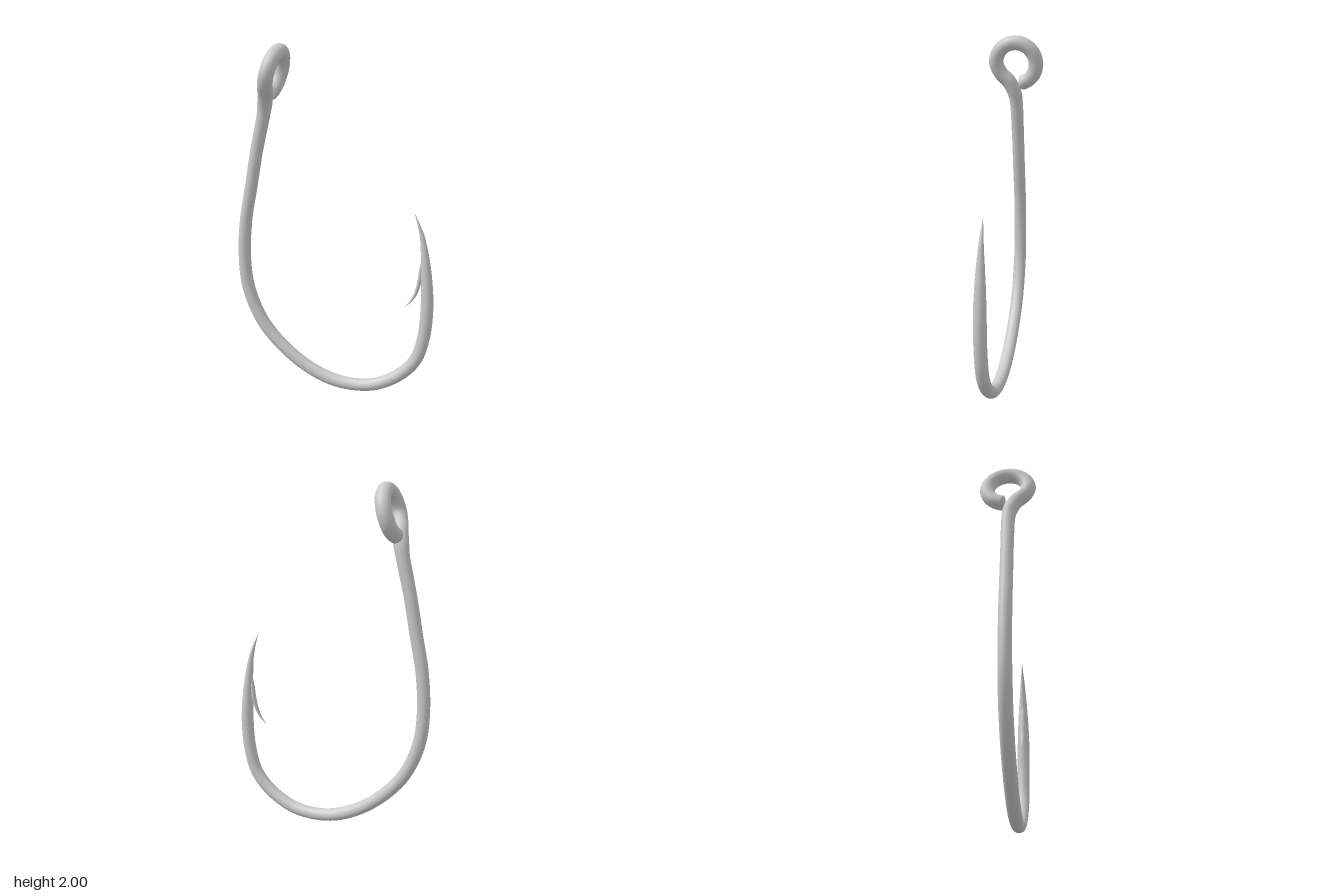
import * as THREE from 'three';

const material = new THREE.MeshStandardMaterial({ color: 0xcccccc });

// Sweeps a round section of varying radius along stations [x, y, z, radius]
function sweep(name, stations, steps, sides, zScale = 1) {
  const curve = new THREE.CatmullRomCurve3(stations.map(s => new THREE.Vector3(s[0], s[1], s[2])));
  const last = stations.length - 1;
  const pos = [], index = [];
  const normal = new THREE.Vector3(1, 0, 0), binormal = new THREE.Vector3();
  for (let i = 0; i <= steps; i++) {
    const t = i / steps, k = Math.min(Math.floor(t * last), last - 1);
    const r = THREE.MathUtils.lerp(stations[k][3], stations[k + 1][3], t * last - k);
    const p = curve.getPoint(t), tangent = curve.getTangent(t);
    // carry the frame along without twist
    normal.addScaledVector(tangent, -normal.dot(tangent)).normalize();
    binormal.crossVectors(tangent, normal);
    for (let j = 0; j < sides; j++) {
      const a = j / sides * Math.PI * 2;
      const d = normal.clone().multiplyScalar(Math.cos(a) * r).addScaledVector(binormal, Math.sin(a) * r);
      pos.push(p.x + d.x, p.y + d.y, p.z + d.z * zScale);
      if (i < steps) {
        const A = i * sides + j, B = i * sides + (j + 1) % sides;
        index.push(A, B, A + sides, B, B + sides, A + sides);
      }
    }
  }
  // end caps
  for (const [t, row, flip] of [[0, 0, false], [1, steps, true]]) {
    const c = pos.length / 3, p = curve.getPoint(t);
    pos.push(p.x, p.y, p.z);
    for (let j = 0; j < sides; j++) {
      const A = row * sides + j, B = row * sides + (j + 1) % sides;
      index.push(c, flip ? A : B, flip ? B : A);
    }
  }
  const geometry = new THREE.BufferGeometry();
  geometry.setAttribute('position', new THREE.Float32BufferAttribute(pos, 3));
  geometry.setIndex(index);
  geometry.computeVertexNormals();
  const mesh = new THREE.Mesh(geometry, material);
  mesh.name = name;
  return mesh;
}

export function createModel() {
  const group = new THREE.Group();
  group.name = 'fishHook';
  const Z = 0.008;

  // Eye: tilted loop, open at the bottom
  const R = 0.117, eye = [];
  const loopPoint = (a, r) => {
    const y = 1.842 - R * Math.cos(a);
    return [-0.345 + 0.28 * (y - 1.842), y, -R * Math.sin(a), r];
  };
  eye.push(loopPoint(0.15, 0.03), loopPoint(0.24, 0.042));
  for (let i = 1; i <= 10; i++) eye.push(loopPoint(0.24 + i * 0.447, 0.042));

  // Neck: from the loop back to the middle of the shank
  const neck = [
    [-0.362, 1.785, 0.094, 0.042], [-0.378, 1.735, 0.049, 0.043],
    [-0.393, 1.675, 0.02, 0.042], [-0.406, 1.615, 0.01, 0.038],
  ];

  // Shank, bend and tapered point
  const bend = [
    [-0.455, 1.4, 0.036], [-0.492, 1.2, 0.036], [-0.53, 1.0, 0.036], [-0.546, 0.78, 0.036],
    [-0.529, 0.59, 0.037], [-0.46, 0.405, 0.037], [-0.36, 0.27, 0.037], [-0.2, 0.137, 0.037],
    [-0.03, 0.057, 0.037], [0.12, 0.037, 0.036], [0.26, 0.06, 0.036], [0.4, 0.142, 0.036],
    [0.49, 0.25, 0.036], [0.532, 0.4, 0.036], [0.544, 0.56, 0.036], [0.541, 0.67, 0.034],
    [0.533, 0.78, 0.029], [0.522, 0.88, 0.022], [0.503, 0.99, 0.013], [0.46, 1.112, 0.0005],
  ].map(([x, y, r]) => [x, y, Z, r]);
  group.add(sweep('hookWire', [...eye, ...neck, ...bend], 280, 24));

  // Barb: curved sliver leaving the inside of the point
  const barb = [
    [0.509, 0.86, 0.003], [0.504, 0.79, 0.011], [0.496, 0.72, 0.012],
    [0.476, 0.645, 0.009], [0.448, 0.595, 0.005], [0.413, 0.558, 0.0004],
  ].map(([x, y, r]) => [x, y, Z, r]);
  group.add(sweep('barb', barb, 40, 16, 1.4));

  return group;
}
